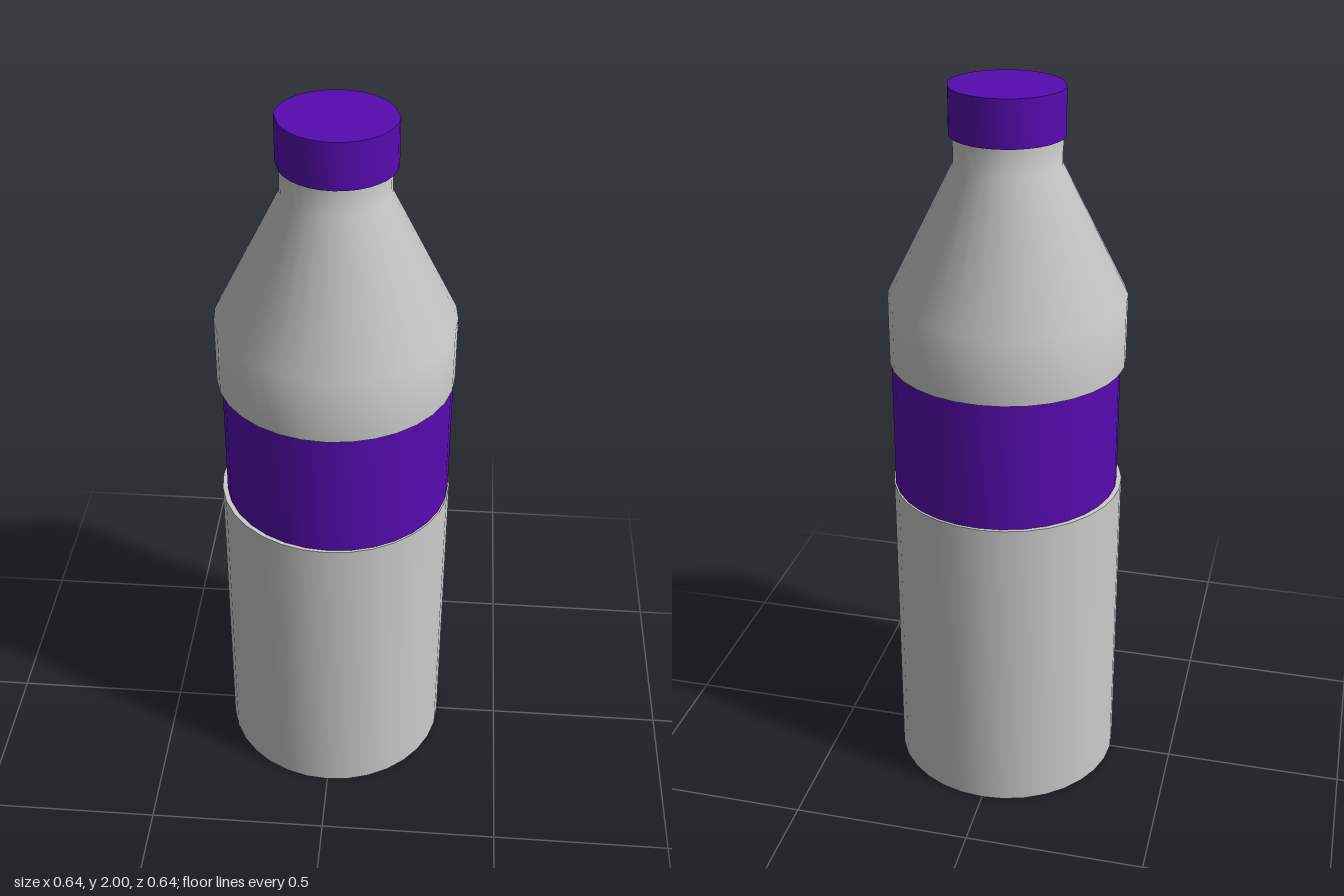
import * as THREE from 'three';
import { toCreasedNormals } from 'three/addons/utils/BufferGeometryUtils.js';

const SIDES = 32;
const grey = new THREE.MeshStandardMaterial({ color: 0xcccccc });
const purple = new THREE.MeshStandardMaterial({ color: 0x560bb0 });

// Revolve a [radius, height] profile, listed from bottom to top
function turned(name, profile, material, shift = () => 0) {
  const points = profile.map(([r, y]) => new THREE.Vector2(r, y));
  const geometry = new THREE.LatheGeometry(points, SIDES);
  const p = geometry.attributes.position;
  for (let i = 0; i < p.count; i++) {
    p.setX(i, p.getX(i) + shift(p.getX(i), p.getZ(i)));
  }
  const mesh = new THREE.Mesh(toCreasedNormals(geometry, 0.55), material);
  mesh.name = name;
  return mesh;
}

export function createModel() {
  const bottle = new THREE.Group();
  bottle.name = 'bottle';

  // Straight lower body with a narrow ledge under the label
  bottle.add(turned('lowerBody', [[0, 0], [0.32, 0], [0.32, 0.895], [0.3, 0.895]], grey));

  // Recessed label band, set very slightly off centre
  bottle.add(turned('label', [[0.311, 0.895], [0.311, 1.26]], purple, () => 0.005));

  // Shoulder tapering into the neck
  bottle.add(turned('shoulderAndNeck', [
    [0.3, 1.26], [0.32, 1.26], [0.32, 1.445], [0.142, 1.8], [0.142, 1.88],
  ], grey));

  // Cap, with its front half nudged sideways
  bottle.add(turned('cap', [[0.14, 1.875], [0.152, 1.875], [0.152, 2], [0, 2]], purple,
    (x, z) => (z > 0.001 || (z > -0.001 && x > 0.1) ? 0.005 : 0)));

  return bottle;
}
